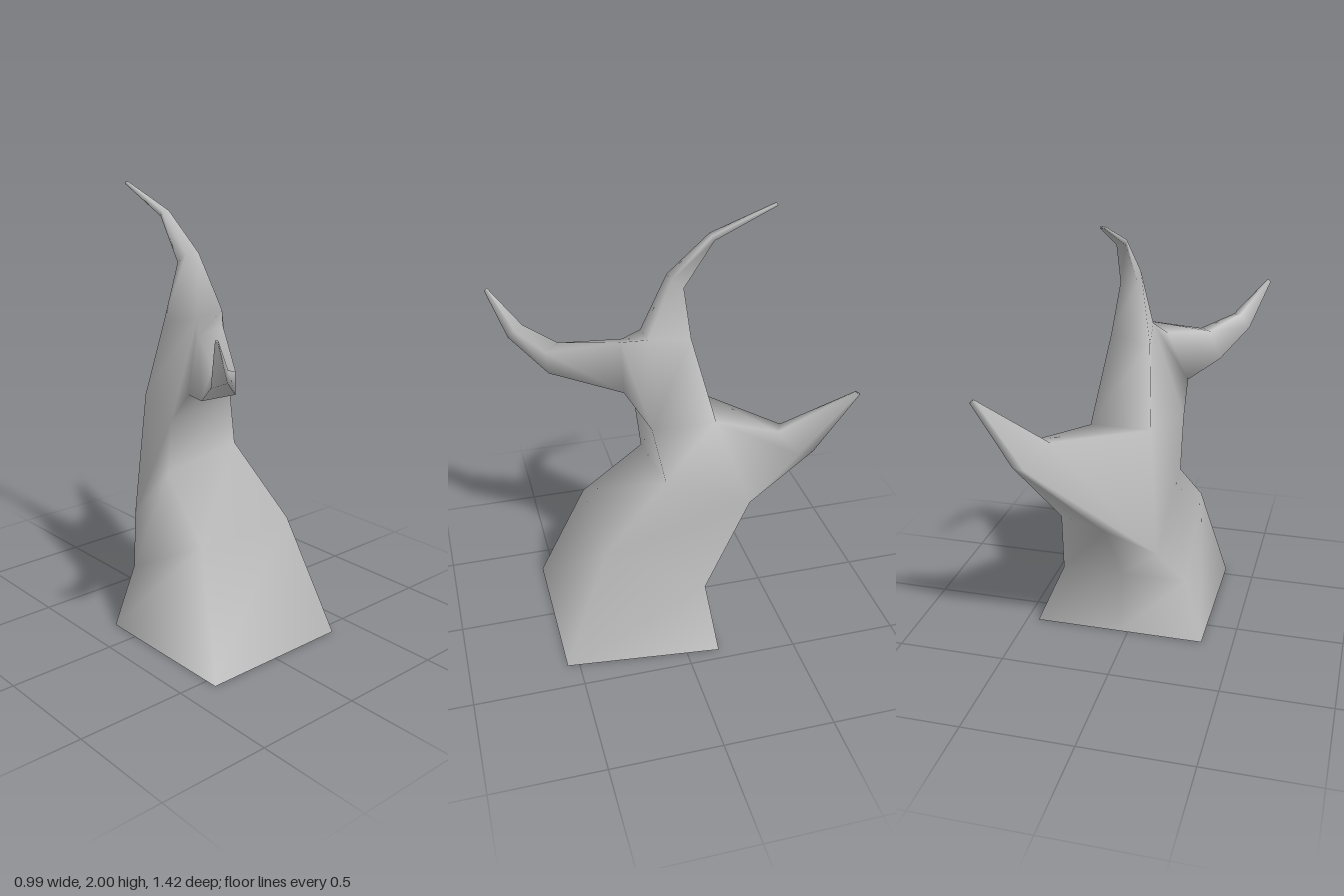
import * as THREE from 'three';

export function createModel() {
  const group = new THREE.Group();
  const bark = new THREE.MeshStandardMaterial({ color: 0xc0c0c0, side: THREE.DoubleSide });
  bark.name = 'greyBark';

  const positions = [];
  const index = [];

  // Adds a loop of corners and returns their vertex numbers
  const ring = (...points) => points.map((p) => positions.push(...p) / 3 - 1);
  const quad = (a, b, c, d) => index.push(a, b, c, a, c, d);

  // Skins closed loops that have the same number of corners
  const loft = (...rings) => {
    for (let r = 0; r + 1 < rings.length; r++) {
      const low = rings[r], high = rings[r + 1], n = low.length;
      for (let i = 0; i < n; i++) {
        const j = (i + 1) % n;
        quad(low[i], low[j], high[j], high[i]);
      }
    }
  };

  // Shrinks a loop onto a small closed tip
  const taper = (loop, tip, scale) => {
    const pts = loop.map((v) => positions.slice(v * 3, v * 3 + 3));
    const mid = [0, 1, 2].map((k) => pts.reduce((s, p) => s + p[k], 0) / pts.length);
    const end = ring(...pts.map((p) => p.map((c, k) => tip[k] + (c - mid[k]) * scale)));
    loft(loop, end);
    for (let i = 1; i + 1 < end.length; i++) index.push(end[0], end[i], end[i + 1]);
  };

  // Lower trunk: front right, front left, back left, back middle, back right
  const foot = ring([-0.355, 0, 0.555], [0.37, 0, 0.555], [0.445, 0, -0.15], [0.04, 0, -0.15], [-0.355, 0, -0.15]);
  const knee = ring([-0.25, 0.53, 0.34], [0.27, 0.53, 0.34], [0.32, 0.29, -0.115], [0.04, 0.29, -0.11], [-0.27, 0.29, -0.11]);
  const waist = ring([-0.2, 0.78, 0.06], [0.21, 0.83, 0.045], [0.25, 0.68, -0.34], [0.04, 0.65, -0.38], [-0.16, 0.49, -0.24]);
  loft(foot, knee, waist);

  // Upper trunk: front right, front left, back left, back right
  const chest = ring([-0.205, 1.03, 0.09], [0.14, 1.07, 0.09], [0.15, 1.07, -0.2], [-0.12, 1.07, -0.2]);
  const neck = ring([-0.06, 1.46, 0.09], [0.085, 1.48, 0.09], [0.08, 1.46, -0.1], [-0.09, 1.42, -0.1]);
  quad(waist[0], waist[1], chest[1], chest[0]);
  quad(waist[1], waist[2], chest[2], chest[1]);
  quad(waist[4], waist[0], chest[0], chest[3]);
  for (const [i, j] of [[1, 2], [2, 3], [3, 0]]) quad(chest[i], chest[j], neck[j], neck[i]);

  // Bent top of the trunk
  const crook = ring([-0.03, 1.72, -0.02], [0.045, 1.72, -0.02], [0.045, 1.68, -0.075], [-0.03, 1.68, -0.075]);
  const bend = ring([-0.015, 1.89, -0.2], [0.025, 1.89, -0.2], [0.025, 1.868, -0.21], [-0.015, 1.868, -0.21]);
  loft(neck, crook, bend);
  taper(bend, [0.006, 1.995, -0.483], 0.4);

  // Front branch, growing out of the open front of the upper trunk
  const shoulder = ring([-0.2, 1.17, 0.2], [0, 1.19, 0.18], [0, 1.44, 0.19], [-0.11, 1.4, 0.16]);
  const elbow = ring([-0.31, 1.21, 0.41], [-0.19, 1.23, 0.48], [-0.2, 1.33, 0.49], [-0.26, 1.34, 0.42]);
  const wrist = ring([-0.42, 1.32, 0.59], [-0.37, 1.34, 0.63], [-0.34, 1.38, 0.6], [-0.38, 1.39, 0.56]);
  loft([chest[0], chest[1], neck[1], neck[0]], shoulder, elbow, wrist);
  taper(wrist, [-0.49, 1.53, 0.7], 0.2);

  // Back branch, growing out of the open back below it
  const fork = ring([0.39, 1, -0.5], [0.38, 1, -0.57], [0.32, 1, -0.59], [0.25, 1.08, -0.46], [0.31, 1.08, -0.43]);
  loft([waist[2], waist[3], waist[4], chest[3], chest[2]], fork);
  taper(fork, [0.485, 1.33, -0.7], 0.12);

  const geometry = new THREE.BufferGeometry();
  geometry.setAttribute('position', new THREE.Float32BufferAttribute(positions, 3));
  geometry.setIndex(index);
  geometry.computeVertexNormals();

  const tree = new THREE.Mesh(geometry, bark);
  tree.name = 'trunkAndBranches';
  group.add(tree);
  return group;
}
